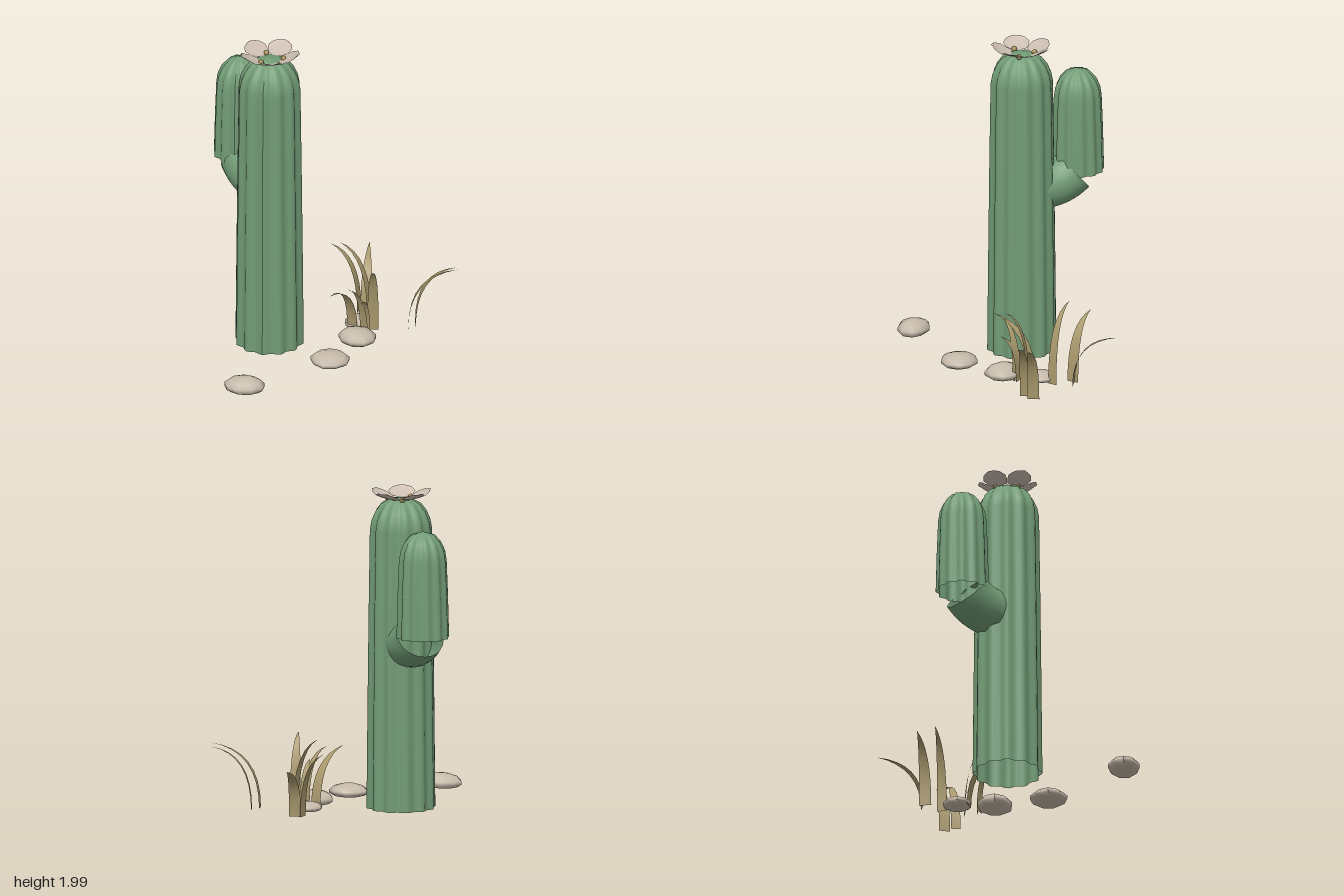
import * as THREE from 'three';

const mat = (name, color, side = THREE.FrontSide) => {
  const m = new THREE.MeshStandardMaterial({ color, side });
  m.name = name;
  return m;
};

// Surface from equal-length rows of [x, y, z] points
function gridGeometry(rows) {
  const n = rows[0].length, index = [];
  for (let i = 0; i < rows.length - 1; i++)
    for (let j = 0; j < n - 1; j++) {
      const a = i * n + j, b = a + n;
      index.push(a, a + 1, b, a + 1, b + 1, b);
    }
  const g = new THREE.BufferGeometry();
  g.setAttribute('position', new THREE.Float32BufferAttribute(rows.flat(2), 3));
  g.setIndex(index);
  g.computeVertexNormals();
  return g;
}

// Open-bottomed column whose radius dips between twelve ribs
function ribbedColumn(profile) {
  const g = new THREE.LatheGeometry(profile.map(([r, y]) => new THREE.Vector2(r, y)), 72);
  const p = g.attributes.position;
  for (let i = 0; i < p.count; i++) {
    const a = Math.atan2(p.getZ(i), p.getX(i));
    const k = 1 - 0.1 * (0.5 - 0.5 * Math.cos(12 * a));
    p.setX(i, p.getX(i) * k);
    p.setZ(i, p.getZ(i) * k);
  }
  g.computeVertexNormals();
  return g;
}

// Rounded stone with a flattened base and gently uneven sides
function stoneGeometry(rx, h, rz, seed) {
  const g = new THREE.SphereGeometry(1, 9, 7);
  const p = g.attributes.position;
  for (let i = 0; i < p.count; i++) {
    const x = p.getX(i), y = p.getY(i), z = p.getZ(i);
    const k = 1 + 0.06 * Math.sin(3 * x + seed) * Math.cos(2.5 * z + 2 * seed);
    p.setXYZ(i, x * k * rx, y > 0 ? h * (0.35 + 0.65 * y * k) : h * 0.35 * (1 + Math.max(y * 1.3, -1)), z * k * rz);
  }
  g.computeVertexNormals();
  return g;
}

export function createModel() {
  const model = new THREE.Group();
  const green = mat('cactusGreen', 0x729c76, THREE.DoubleSide);
  const petalMat = mat('petalPink', 0xcdbfb2, THREE.DoubleSide);
  const yellow = mat('stamenYellow', 0xa8935a);
  const stone = mat('stone', 0xc6baaa);
  const straw = mat('dryGrass', 0xa8986c, THREE.DoubleSide);
  const add = (name, geometry, material, x = 0, y = 0, z = 0, parent = model) => {
    const m = new THREE.Mesh(geometry, material);
    m.name = name;
    m.position.set(x, y, z);
    parent.add(m);
    return m;
  };

  // Trunk and raised arm
  add('trunk', ribbedColumn([[0.216, 0], [0.21, 0.6], [0.203, 1.2], [0.195, 1.75], [0.184, 1.81],
    [0.16, 1.865], [0.125, 1.91], [0.075, 1.937], [0.001, 1.945]]), green, -0.35, 0, 0);
  add('arm', ribbedColumn([[0.165, 1.13], [0.158, 1.4], [0.15, 1.61], [0.14, 1.675],
    [0.115, 1.73], [0.075, 1.775], [0.001, 1.796]]), green, -0.597, 0, -0.275);

  // Elbow joining the arm to the trunk
  const at = (s, y) => new THREE.Vector3(-0.35 - 0.666 * s, y, -0.746 * s);
  const bend = new THREE.QuadraticBezierCurve3(at(0.06, 1.06), at(0.23, 1.04), at(0.33, 1.13));
  add('elbow', new THREE.TubeGeometry(bend, 10, 0.15, 24), green);

  // Flower: five cupped petals and three stamens
  const flower = new THREE.Group();
  flower.name = 'flower';
  flower.position.set(-0.35, 0, 0);
  model.add(flower);
  // Each row: distance out, half width, height
  const petalRows = [[0.065, 0.045, 1.936], [0.1, 0.072, 1.945], [0.135, 0.084, 1.96],
    [0.165, 0.062, 1.976], [0.176, 0.035, 1.985]];
  const petal = gridGeometry(petalRows.map(([r, w, y], i) => [
    [r, y + 0.008, -w], [r + i * 0.004, y + i * 0.002, 0], [r, y + 0.008, w]]));
  for (let i = 0; i < 5; i++)
    add('petal', petal, petalMat, 0, 0, 0, flower).rotation.y = i * Math.PI * 0.4;
  for (const [x, z] of [[-0.035, -0.07], [0.085, -0.015], [-0.04, 0.065]])
    add('stamen', new THREE.SphereGeometry(0.017, 10, 8), yellow, x, 1.945, z, flower);

  // Stones: x, z, half width, height, half depth
  [[-0.355, 0.72, 0.13, 0.092, 0.1], [0.085, 0.245, 0.12, 0.08, 0.116],
    [0.188, -0.088, 0.12, 0.09, 0.112], [0.147, -0.32, 0.096, 0.06, 0.092]]
    .forEach(([x, z, rx, h, rz], i) => add('stone', stoneGeometry(rx, h, rz, i * 1.7), stone, x, 0, z));

  // Grass blades: two base corners (x, z), then tip (x, z, height)
  const blades = [
    [0.11, -0.53, 0.185, -0.545, 0.105, -0.82, 0.33],
    [0.11, -0.555, 0.1, -0.48, -0.085, -0.565, 0.42],
    [0.2, -0.445, 0.185, -0.385, -0.005, -0.455, 0.49],
    [0.085, -0.26, 0.155, -0.235, 0.04, 0.04, 0.36],
    [0.475, -0.44, 0.495, -0.37, 0.73, -0.46, 0.39],
    [0.45, -0.365, 0.46, -0.305, 0.755, -0.405, 0.405],
    [0.21, -0.27, 0.28, -0.28, 0.275, -0.135, 0.46],
    [0.18, -0.2, 0.235, -0.17, 0.115, -0.06, 0.365],
    [0.185, -0.2, 0.245, -0.195, 0.22, -0.08, 0.28],
  ];
  for (const [ax, az, bx, bz, tx, tz, h] of blades) {
    const rows = [];
    for (let i = 0; i <= 8; i++) {
      const t = i / 8, u = t * t, y = h * t * (1.8 - 0.8 * t);
      const mix = (a, b) => a + (b - a) * u;
      rows.push([[mix(ax, tx), y, mix(az, tz)], [mix(bx, tx), y, mix(bz, tz)]]);
    }
    add('grassBlade', gridGeometry(rows), straw);
  }
  return model;
}
